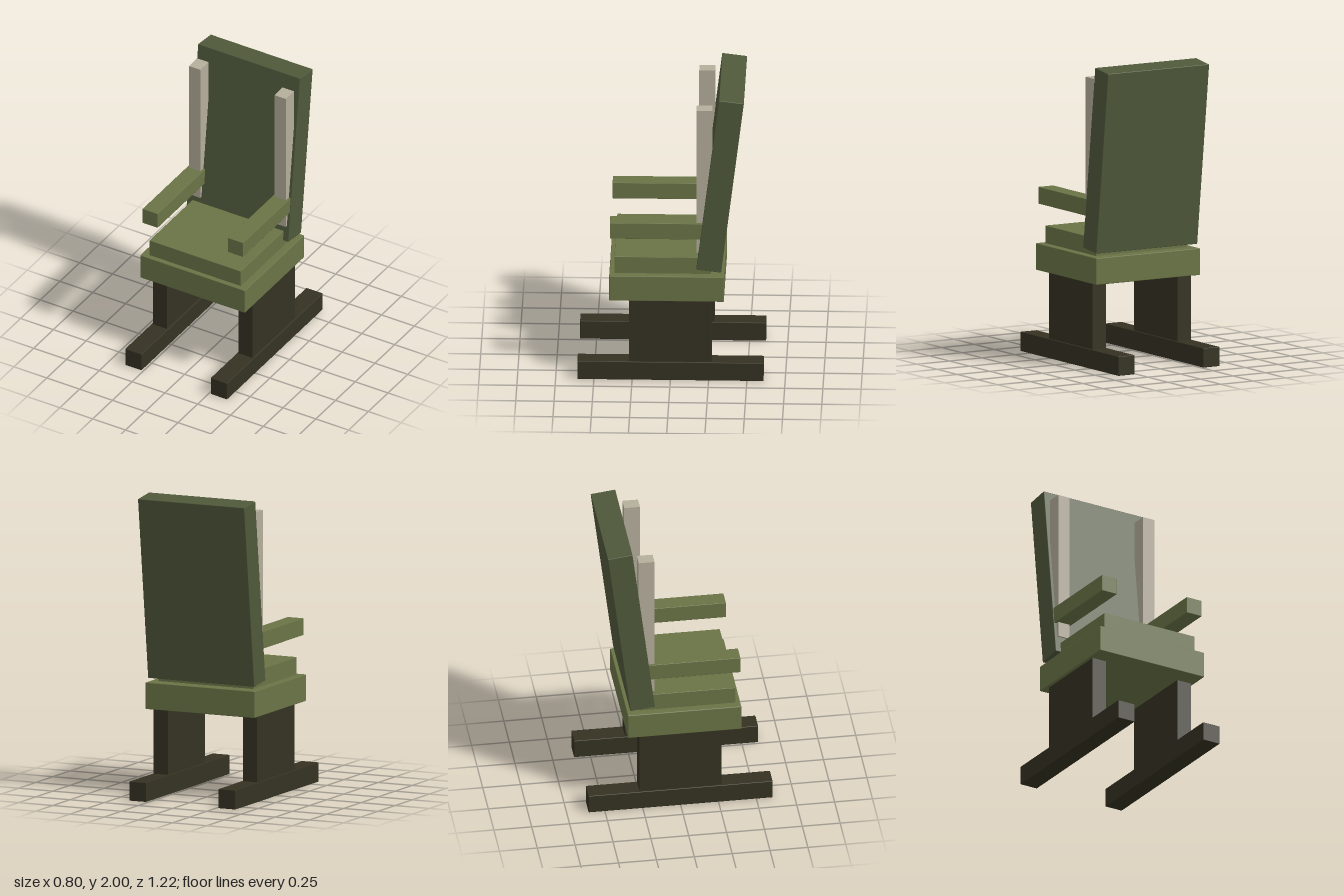
import * as THREE from 'three';
import { RoundedBoxGeometry } from 'three/addons/geometries/RoundedBoxGeometry.js';

export function createModel() {
  const chair = new THREE.Group();
  chair.name = 'chair';

  const material = (name, color) => {
    const m = new THREE.MeshStandardMaterial({ color });
    m.name = name;
    return m;
  };
  const cushionGreen = material('cushion green', 0x6a7446);
  const backGreen = material('back green', 0x4f593a);
  const darkFrame = material('dark frame', 0x353222);
  const webbing = material('pale webbing', 0xb5ae9b);

  // Box from its limits on each axis, with an optional tiny edge bevel
  function box(name, mat, [x0, x1], [y0, y1], [z0, z1], bevel = 0) {
    const size = [x1 - x0, y1 - y0, z1 - z0];
    const geometry = bevel
      ? new RoundedBoxGeometry(...size, 1, bevel)
      : new THREE.BoxGeometry(...size);
    const mesh = new THREE.Mesh(geometry, mat);
    mesh.name = name;
    mesh.position.set((x0 + x1) / 2, (y0 + y1) / 2, (z0 + z1) / 2);
    chair.add(mesh);
    return mesh;
  }

  // Seat base and cushion
  box('seatBase', cushionGreen, [-0.4, 0.4], [0.567, 0.744], [-0.35, 0.4], 0.005);
  box('seatCushion', cushionGreen, [-0.348, 0.348], [0.74, 0.86], [-0.265, 0.367], 0.003);

  // Backrest, leaning back
  const back = box('backrest', backGreen, [-0.389, 0.389], [0.776, 1.994], [-0.407, -0.243], 0.004);
  back.rotation.x = -THREE.MathUtils.degToRad(7);

  // Parts in pairs, mirrored left and right
  for (const [side, s] of [['left', 1], ['right', -1]]) {
    const across = (a, b) => (s > 0 ? [a, b] : [-b, -a]);
    box(side + 'Skid', darkFrame, across(0.263, 0.389), [0, 0.128], [-0.608, 0.608], 0.004);
    box(side + 'Leg', darkFrame, across(0.273, 0.378), [0.12, 0.575], [-0.27, 0.27]);
    box(side + 'Armrest', cushionGreen, across(0.268, 0.383), [1.003, 1.115], [-0.21, 0.396], 0.003);
    box(side + 'Strap', webbing, across(0.282, 0.369), [0.903, 1.918], [-0.274, -0.17]);
  }
  return chair;
}
